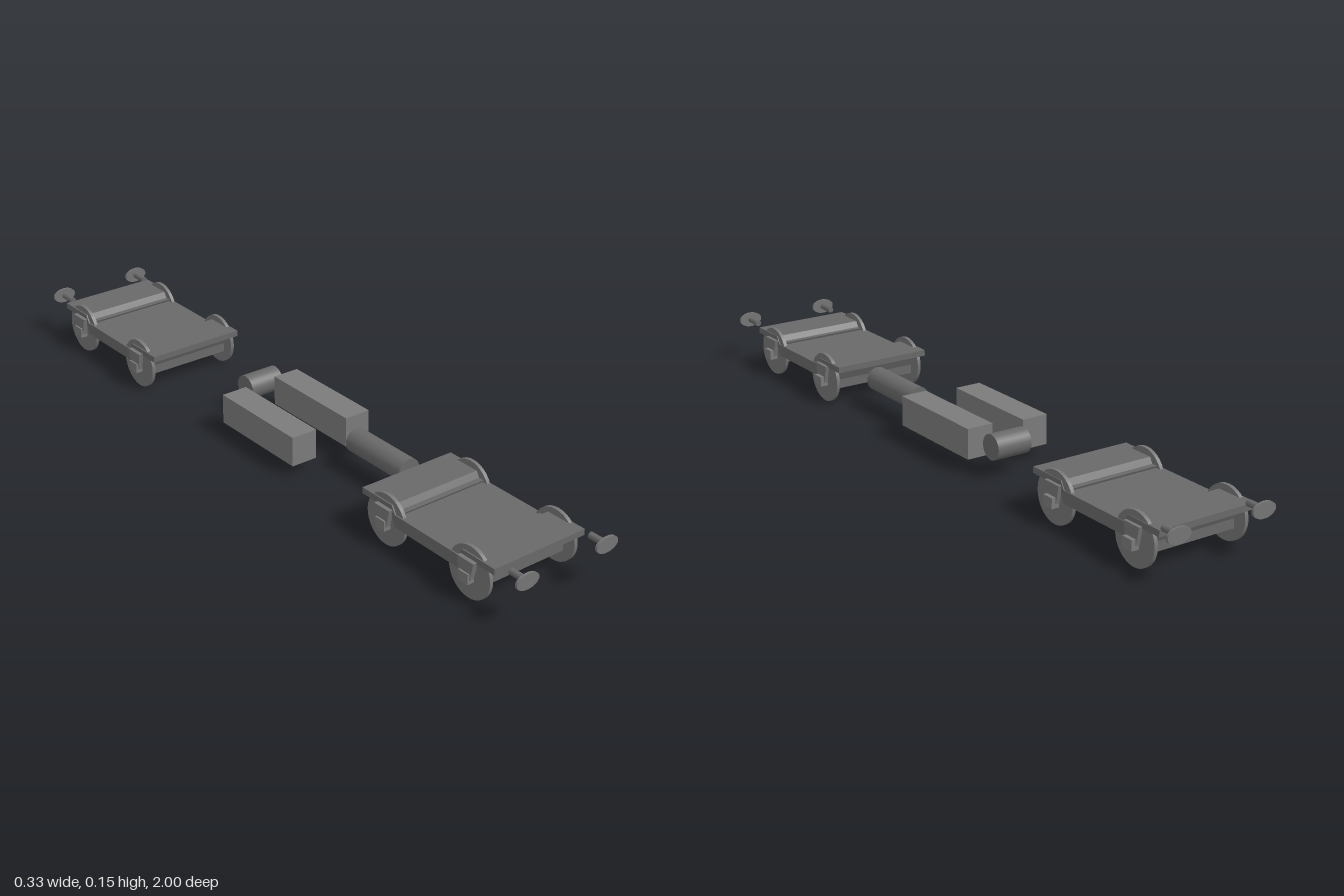
import * as THREE from 'three';

const dark = new THREE.MeshStandardMaterial({ color: 0x696969 });
const darkFlat = new THREE.MeshStandardMaterial({ color: 0x696969, flatShading: true });
const mid = new THREE.MeshStandardMaterial({ color: 0x757575 });
const light = new THREE.MeshStandardMaterial({ color: 0x7b7b7b });

function add(parent, name, geometry, x, y, z, material) {
  const mesh = new THREE.Mesh(geometry, material);
  mesh.name = name;
  mesh.position.set(x, y, z);
  parent.add(mesh);
  return mesh;
}

// Cylinder lying along x or z
function rod(radius, length, axis, sides = 28) {
  const g = new THREE.CylinderGeometry(radius, radius, length, sides);
  return axis === 'x' ? g.rotateZ(Math.PI / 2) : g.rotateX(Math.PI / 2);
}

// Side profile given as [z, y] points, extruded across x and centred
function acrossX(points, width) {
  const shape = new THREE.Shape(points.map(([z, y]) => new THREE.Vector2(-z, y)));
  return new THREE.ExtrudeGeometry(shape, { depth: width, bevelEnabled: false })
    .translate(0, 0, -width / 2)
    .rotateY(Math.PI / 2);
}

const mirror = (points) => points.map(([z, y]) => [-z, y]).reverse();

function createBogie() {
  const bogie = new THREE.Group();

  // Deck with a lowered middle and raised ends over the axles
  const half = [[0.235, 0.105], [0.235, 0.122], [0.125, 0.122], [0.112, 0.1]];
  const under = [[0.112, 0.066], [0.13, 0.105]];
  const deck = [...half, ...mirror(half), ...mirror(under), ...under];
  add(bogie, 'deck', acrossX(deck, 0.289), -0.002, 0, 0, darkFlat);

  for (const z of [-0.149, 0.149]) {
    // Axle housing, tapering down to an upright lower edge
    const flank = [[0.033, 0.04], [0.033, 0.066], [0.05, 0.106]];
    add(bogie, 'axleHousing', acrossX([...flank, ...mirror(flank)], 0.268), -0.001, 0, z, darkFlat);

    for (const side of [-1, 1]) {
      add(bogie, 'wheel', rod(0.07, 0.01, 'x', 32), side * 0.1365 - 0.001, 0.07, z, mid);
      // Tapered bracket carrying the axle box
      const bracket = [[-0.028, 0.11], [-0.018, 0.06], [0.018, 0.06], [0.028, 0.11]];
      add(bogie, 'axleBracket', acrossX(bracket, 0.014), side * 0.148 - 0.003, 0, z, mid);
      add(bogie, 'axleBox', new THREE.BoxGeometry(0.024, 0.028, 0.034), side * 0.151, 0.064, z, light);
    }
  }
  return bogie;
}

// Oval plate on a short round stem, pointing towards +z
function createBuffer() {
  const buffer = new THREE.Group();
  buffer.name = 'buffer';
  add(buffer, 'bufferStem', rod(0.009, 0.048, 'z', 16), 0, 0, -0.031, dark);
  const plate = rod(1, 0.007, 'z', 32).scale(0.035, 0.021, 1);
  add(buffer, 'bufferPlate', plate, 0, 0, -0.0035, mid);
  return buffer;
}

export function createModel() {
  const model = new THREE.Group();
  model.name = 'railcarUndercarriage';

  // Bogies at both ends
  for (const [name, z] of [['frontBogie', 0.679], ['rearBogie', -0.712]]) {
    const bogie = createBogie();
    bogie.name = name;
    bogie.position.z = z;
    model.add(bogie);
  }

  // Pair of buffers at each end
  for (const end of [-1, 1]) {
    for (const side of [-1, 1]) {
      const buffer = createBuffer();
      buffer.position.set(side * 0.127 + 0.002, 0.125, end);
      if (end < 0) buffer.rotation.y = Math.PI;
      model.add(buffer);
    }
  }

  // Equipment boxes slung under the middle
  add(model, 'leftEquipmentBox', new THREE.BoxGeometry(0.077, 0.084, 0.312), 0.087, 0.08, -0.017, light);
  add(model, 'rightEquipmentBox', new THREE.BoxGeometry(0.077, 0.084, 0.31), -0.082, 0.073, -0.026, light);

  // Air tanks
  add(model, 'longTank', rod(0.034, 0.212, 'z'), 0.042, 0.083, 0.295, dark);
  add(model, 'crossTank', rod(0.035, 0.103, 'x'), 0.042, 0.083, -0.23, dark);

  return model;
}
